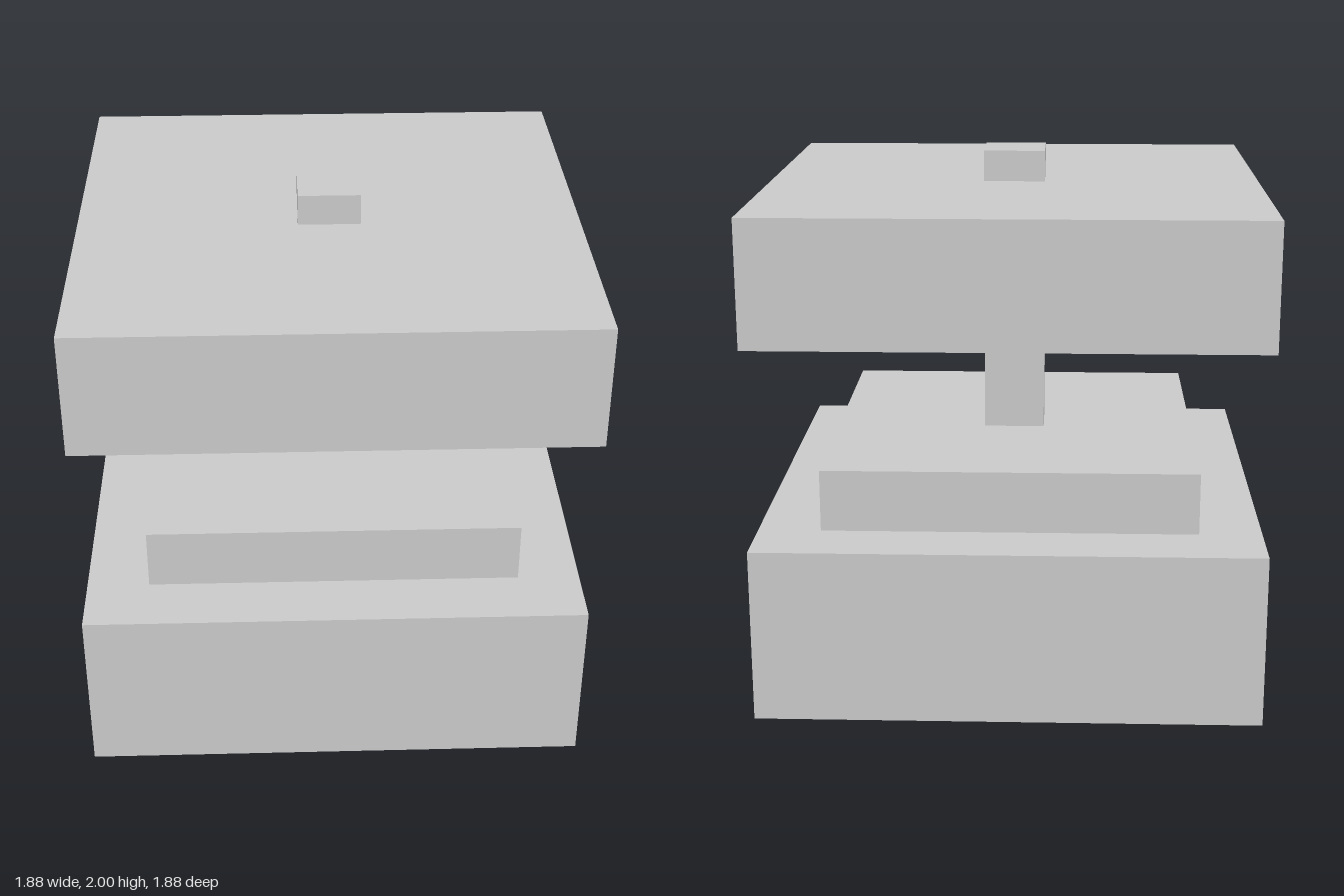
import * as THREE from 'three';

const UNIT = 2 / 17; // the model is 17 units tall

export function createModel() {
  const group = new THREE.Group();
  const material = new THREE.MeshStandardMaterial({ color: 0xcccccc, flatShading: true });

  // Square block of the given width between two heights, in units
  function addBlock(name, width, bottom, top) {
    const height = (top - bottom) * UNIT;
    const mesh = new THREE.Mesh(new THREE.BoxGeometry(width * UNIT, height, width * UNIT), material);
    mesh.name = name;
    mesh.position.y = bottom * UNIT + height / 2;
    group.add(mesh);
  }

  addBlock('base', 16, 0, 5.6);
  addBlock('step', 12, 5.6, 7.6);
  addBlock('post', 2, 7.6, 12);
  addBlock('topSlab', 16, 12, 16);
  addBlock('postCap', 2, 16, 17);

  return group;
}
